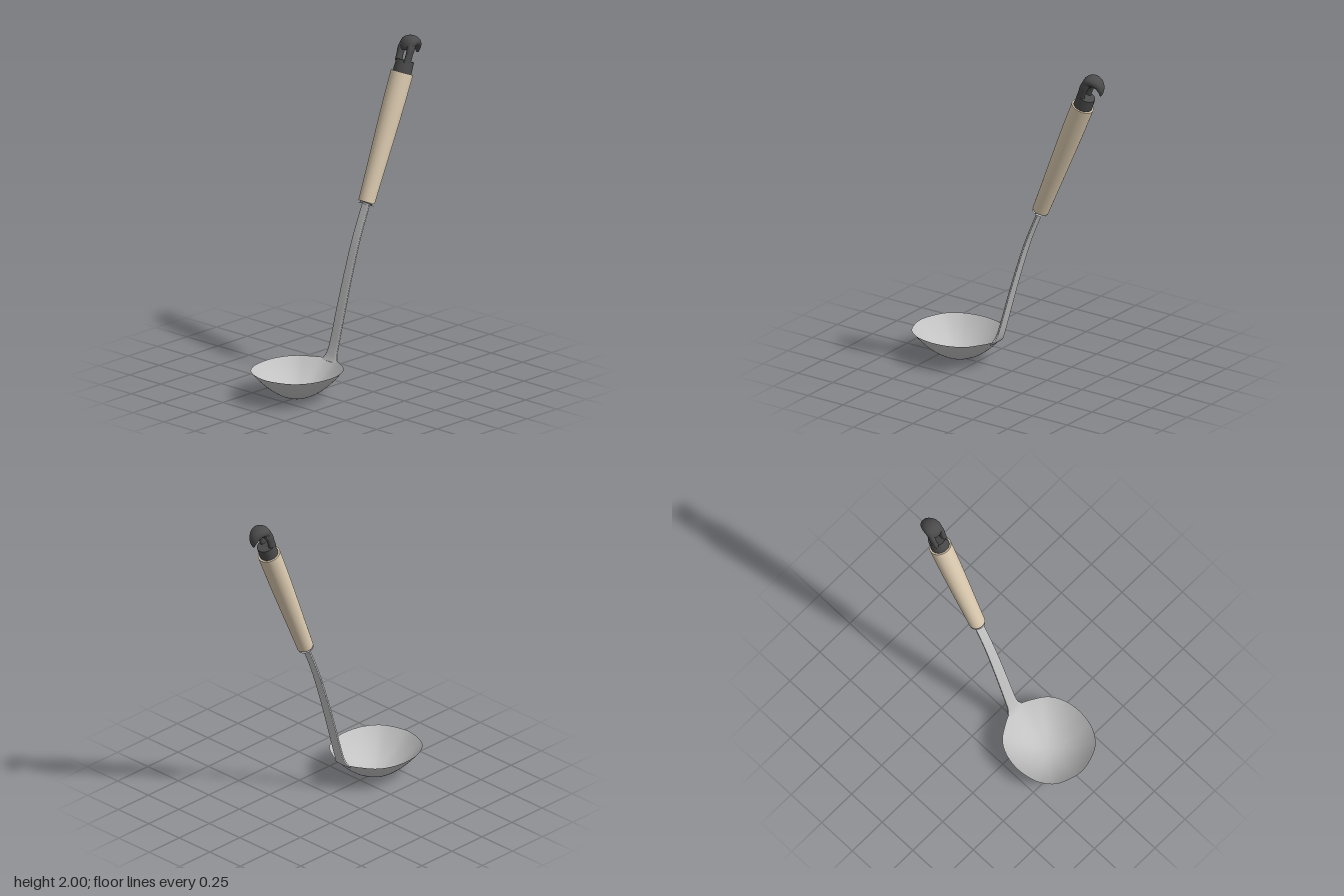
import * as THREE from 'three';

const steel = new THREE.MeshStandardMaterial({ color: 0xc2c2c2 });
steel.name = 'steel';
const wood = new THREE.MeshStandardMaterial({ color: 0xdccbb0 });
wood.name = 'beige wood';
const plastic = new THREE.MeshStandardMaterial({ color: 0x4a4a4a });
plastic.name = 'dark plastic';

function toGeometry(pos, idx) {
  const g = new THREE.BufferGeometry();
  g.setAttribute('position', new THREE.Float32BufferAttribute(pos, 3));
  g.setIndex(idx);
  g.computeVertexNormals();
  return g;
}

// Sweeps an oval through sections [x, y, z, half width in z, half depth].
// power 1 gives an ellipse, smaller values a squarer section.
function sweep(sections, { steps = 32, sides = 28, power = 1 } = {}) {
  const path = new THREE.CatmullRomCurve3(sections.map(s => new THREE.Vector3(s[0], s[1], s[2])), false, 'catmullrom', 0.5);
  const size = new THREE.CatmullRomCurve3(sections.map(s => new THREE.Vector3(s[3], s[4], 0)), false, 'catmullrom', 0.5);
  const pos = [], idx = [];
  const bend = v => Math.sign(v) * Math.pow(Math.abs(v), power);
  const ring = t => {
    const c = path.getPoint(t), d = path.getTangent(t), s = size.getPoint(t);
    const len = Math.hypot(d.x, d.y);
    for (let j = 0; j < sides; j++) {
      const a = (j / sides) * Math.PI * 2;
      const n = bend(Math.cos(a)) * s.y, w = bend(Math.sin(a)) * s.x;
      pos.push(c.x - (d.y / len) * n, c.y + (d.x / len) * n, c.z + w);
    }
    return c;
  };
  for (let i = 0; i <= steps; i++) ring(i / steps);
  for (let i = 0; i < steps; i++) {
    for (let j = 0; j < sides; j++) {
      const k = (j + 1) % sides, a = i * sides, b = a + sides;
      idx.push(a + j, a + k, b + j, a + k, b + k, b + j);
    }
  }
  // End caps with their own vertices keep the edges sharp
  for (const t of [0, 1]) {
    const base = pos.length / 3, c = ring(t);
    pos.push(c.x, c.y, c.z);
    for (let j = 0; j < sides; j++) {
      const k = (j + 1) % sides;
      if (t) idx.push(base + sides, base + j, base + k);
      else idx.push(base + sides, base + k, base + j);
    }
  }
  return toGeometry(pos, idx);
}

// Half of the bowl rim seen from above, from the neck to the far lip
const halfRim = [
  [-0.098, 0], [-0.105, 0.052], [-0.14, 0.122], [-0.19, 0.192], [-0.27, 0.238], [-0.38, 0.256],
  [-0.5, 0.236], [-0.565, 0.2], [-0.605, 0.16], [-0.64, 0.082], [-0.655, 0],
];
const BOWL_X = -0.38;

// One face of the bowl: the rim outline shrinks towards the bottom
function bowlSurface(inside) {
  const mirrored = halfRim.slice(1, -1).reverse().map(([x, z]) => [x, -z]);
  const rim = new THREE.CatmullRomCurve3(
    [...halfRim, ...mirrored].map(([x, z]) => new THREE.Vector3(x, 0, z)), true, 'centripetal').getPoints(96).slice(0, -1);
  const rows = 20, n = rim.length, pos = [], idx = [];
  const floor = inside ? 0.012 : 0.002;
  for (let i = 0; i <= rows; i++) {
    const t = inside ? 1 - i / rows : i / rows;
    const y = floor + (0.172 - floor) * t * t;
    for (const p of rim) pos.push(BOWL_X + (p.x - BOWL_X) * t, y, p.z * t);
  }
  for (let i = 0; i < rows; i++) {
    for (let j = 0; j < n; j++) {
      const k = (j + 1) % n, a = i * n, b = a + n;
      idx.push(a + j, b + j, a + k, b + j, b + k, a + k);
    }
  }
  return toGeometry(pos, idx);
}

// Straight grip axis: point at distance s from its lower end
const TILT = Math.atan2(0.307, 0.74);
const onAxis = (s, r) => [0.2 + Math.sin(TILT) * s, 1.05 + Math.cos(TILT) * s, 0, r, r];

export function createModel() {
  const model = new THREE.Group();
  model.name = 'ladle';
  const add = (name, geometry, material) => {
    const mesh = new THREE.Mesh(geometry, material);
    mesh.name = name;
    model.add(mesh);
  };

  // Bowl
  add('bowlOutside', bowlSurface(false), steel);
  add('bowlInside', bowlSurface(true), steel);

  // Flat curved stem, flaring where it meets the bowl
  add('stem', sweep([
    [-0.112, 0.158, 0, 0.06, 0.005], [-0.098, 0.178, 0, 0.052, 0.007], [-0.085, 0.207, 0, 0.04, 0.008],
    [-0.062, 0.275, 0, 0.036, 0.008], [0, 0.49, 0, 0.034, 0.008], [0.06, 0.685, 0, 0.032, 0.008],
    [0.12, 0.86, 0, 0.03, 0.008], [0.205, 1.06, 0, 0.028, 0.008],
  ], { steps: 56, power: 0.5 }), steel);

  // Grip with a steel ring at its lower end
  add('ferrule', sweep([onAxis(0, 0.046), onAxis(0.016, 0.047)], { steps: 1, sides: 40 }), steel);
  add('grip', sweep([
    onAxis(0.014, 0.049), onAxis(0.2, 0.054), onAxis(0.4, 0.06), onAxis(0.6, 0.065), onAxis(0.8, 0.067),
  ], { sides: 40 }), wood);

  // Collar on top of the grip
  add('collar', sweep([onAxis(0.79, 0.056), onAxis(0.83, 0.055), onAxis(0.872, 0.053)], { steps: 8, sides: 40 }), plastic);

  // Two struts with an open slot between them carry the hook
  for (const side of [-1, 1]) {
    add(side > 0 ? 'leftStrut' : 'rightStrut', sweep([
      [0.512, 1.85, side * 0.034, 0.016, 0.026], [0.527, 1.89, side * 0.036, 0.015, 0.024],
      [0.541, 1.925, side * 0.036, 0.017, 0.026], [0.56, 1.955, side * 0.03, 0.018, 0.028],
    ], { steps: 16, power: 0.8 }), plastic);
  }

  // Hook curling over and tapering to a blunt tip
  add('hook', sweep([
    [0.538, 1.918, 0, 0.03, 0.018], [0.546, 1.943, 0, 0.05, 0.029], [0.566, 1.963, 0, 0.054, 0.034],
    [0.597, 1.963, 0, 0.05, 0.031], [0.624, 1.944, 0, 0.038, 0.026], [0.637, 1.915, 0, 0.025, 0.015],
    [0.636, 1.884, 0, 0.008, 0.004],
  ], { steps: 40 }), plastic);

  return model;
}
